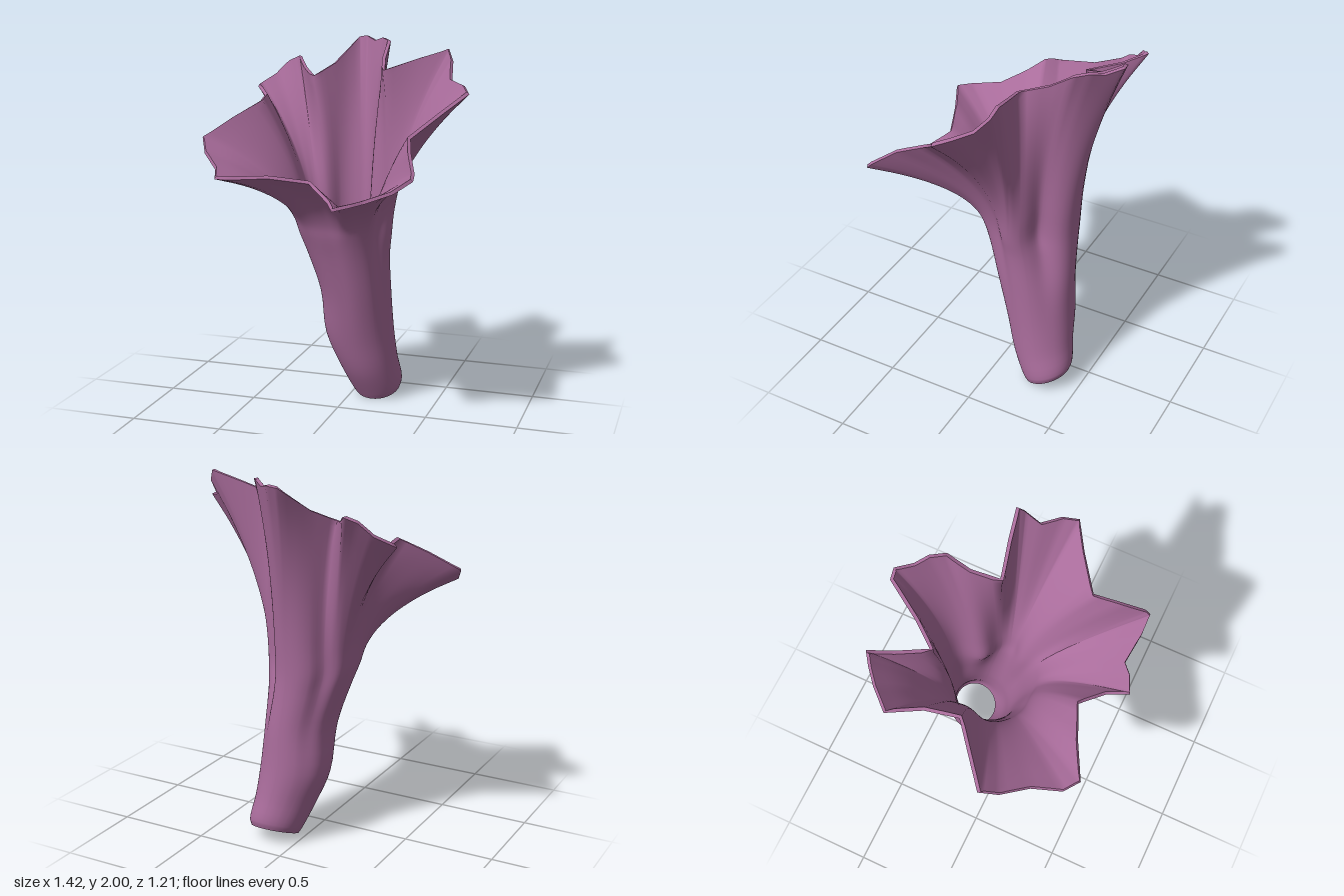
import * as THREE from 'three';

// Five petals; each lists rim points from its opening notch up to the next notch.
// 'angle' is where that notch meets the tube, in degrees from +x towards +z.
// 'fold' is the groove running down from the notch: its angle, depth and width.
const PETALS = [
  { angle: -13, fold: [-40, 0.38, 23],
    rim: [[0.21, 1.86, -0.16], [0.38, 1.92, -0.20], [0.54, 1.97, -0.23], [0.57, 1.91, -0.20],
      [0.585, 1.82, -0.12], [0.67, 1.80, -0.04], [0.71, 1.77, 0.04], [0.60, 1.68, 0.12]] },
  { angle: 28, fold: [26, 0.15, 13],
    rim: [[0.46, 1.56, 0.24], [0.50, 1.51, 0.38], [0.55, 1.43, 0.50], [0.55, 1.40, 0.53],
      [0.45, 1.33, 0.53], [0.30, 1.27, 0.51], [0.25, 1.26, 0.56], [0.16, 1.24, 0.60], [0.10, 1.26, 0.49]] },
  { angle: 92, fold: [92, 0.04, 13],
    rim: [[-0.03, 1.33, 0.39], [-0.22, 1.36, 0.47], [-0.41, 1.36, 0.57], [-0.49, 1.35, 0.51],
      [-0.55, 1.37, 0.36], [-0.66, 1.43, 0.24], [-0.71, 1.50, 0.15], [-0.58, 1.60, 0.04]] },
  { angle: 180, fold: [182, 0.09, 14],
    rim: [[-0.46, 1.68, -0.06], [-0.50, 1.69, -0.23], [-0.60, 1.72, -0.39], [-0.52, 1.78, -0.48],
      [-0.46, 1.85, -0.53], [-0.40, 1.88, -0.57], [-0.33, 1.83, -0.46]] },
  { angle: 226, fold: [226, 0.13, 14],
    rim: [[-0.24, 1.80, -0.32], [-0.16, 1.86, -0.43], [-0.07, 1.99, -0.60], [-0.01, 2.0, -0.61],
      [0.06, 1.98, -0.54], [0.12, 2.0, -0.49], [0.17, 1.99, -0.42], [0.175, 1.91, -0.30]] },
];

// Tube sections from the base up: centre, radii, slope of the ring, share of the fold depth
const RINGS = [
  { x: 0.14, y: 0.05, z: -0.31, rx: 0.13, rz: 0.122, slope: -0.4, fold: 0 },
  { x: 0.135, y: 0.085, z: -0.305, rx: 0.145, rz: 0.136, slope: -0.38, fold: 0 },
  { x: 0.10, y: 0.22, z: -0.26, rx: 0.165, rz: 0.163, slope: -0.28, fold: 0.04 },
  { x: 0.06, y: 0.40, z: -0.225, rx: 0.192, rz: 0.185, slope: -0.2, fold: 0.1 },
  { x: 0.05, y: 0.65, z: -0.185, rx: 0.197, rz: 0.215, slope: -0.08, fold: 0.35 },
  { x: 0.022, y: 0.86, z: -0.15, rx: 0.23, rz: 0.242, slope: 0, fold: 0.7 },
  { x: 0.01, y: 0.98, z: -0.13, rx: 0.26, rz: 0.262, slope: 0, fold: 1 },
];
const SPLIT = 4, ROWS = 48;

// Inward pull of all folds at an angle in degrees
function foldDepth(angle) {
  return PETALS.reduce((sum, { fold: [centre, depth, width] }) => {
    const gap = Math.abs(THREE.MathUtils.euclideanModulo(angle - centre + 180, 360) - 180);
    return sum + depth * Math.exp(-((gap / width) ** 2));
  }, 0);
}

// Rim points with the tube angle each one grows from
function rimColumns() {
  const columns = [];
  PETALS.forEach((petal, k) => {
    const next = PETALS[(k + 1) % PETALS.length];
    const end = next.angle + (k === PETALS.length - 1 ? 360 : 0);
    const pts = [...petal.rim, next.rim[0]].map(p => new THREE.Vector3(...p));
    const lengths = [0];
    for (let i = 1; i < pts.length; i++) lengths.push(lengths[i - 1] + pts[i].distanceTo(pts[i - 1]));
    const total = lengths[lengths.length - 1];
    for (let i = 0; i < pts.length - 1; i++) {
      for (let s = 0; s < SPLIT; s++) {
        const t = s / SPLIT;
        const along = THREE.MathUtils.lerp(lengths[i], lengths[i + 1], t) / total;
        columns.push({ rim: pts[i].clone().lerp(pts[i + 1], t),
          angle: THREE.MathUtils.lerp(petal.angle, end, along) });
      }
    }
  });
  return columns;
}

// One lengthwise line: up the tube, then flaring out to the rim, with pleats fading below it
function columnPoints({ rim, angle }, index, columns) {
  const depth = foldDepth(angle), a = THREE.MathUtils.degToRad(angle), n = columns.length;
  const path = RINGS.map(r => {
    const k = 1 - r.fold * depth;
    const dz = Math.sin(a) * r.rz * k;
    return new THREE.Vector3(r.x + Math.cos(a) * r.rx * k, r.y + r.slope * dz, r.z + dz);
  });
  const soft = new THREE.Vector3();
  for (let k = -SPLIT; k <= SPLIT; k++) soft.addScaledVector(columns[(index + k + n) % n].rim, 1 / (2 * SPLIT + 1));
  const start = path[path.length - 1];
  const rise = soft.y - start.y;
  const control = start.clone().lerp(soft, 0.12);
  control.y = start.y + 0.15 + 0.15 * rise + 0.2 * rise * rise;
  for (let i = 1; i <= 6; i++) {
    const t = i / 6;
    path.push(new THREE.QuadraticBezierCurve3(start, control, soft.clone().lerp(rim, t)).getPoint(t));
  }
  return new THREE.CatmullRomCurve3(path).getPoints(ROWS);
}

// Smooth surface through closed rows of points
function loft(rows) {
  const n = rows[0].length, index = [];
  for (let j = 0; j < rows.length - 1; j++) {
    for (let i = 0; i < n; i++) {
      const a = j * n + i, b = j * n + (i + 1) % n;
      index.push(a, a + n, b, b, a + n, b + n);
    }
  }
  const geometry = new THREE.BufferGeometry().setFromPoints(rows.flat());
  geometry.setIndex(index);
  geometry.computeVertexNormals();
  return geometry;
}

export function createModel() {
  const group = new THREE.Group();
  group.name = 'trumpetFlower';
  const petalMauve = new THREE.MeshStandardMaterial({ color: 0xa96c9b, side: THREE.DoubleSide });
  petalMauve.name = 'petalMauve';

  const columns = rimColumns().map(columnPoints);
  const outer = [];
  for (let j = 0; j <= ROWS; j++) outer.push(columns.map(c => c[j]));
  const outerGeometry = loft(outer);

  // Inner wall: the outer wall moved inwards along its normals, thickest in the lower tube
  const normals = outerGeometry.attributes.normal, n = columns.length;
  const inner = outer.map((row, j) => {
    const wall = j < 12 ? THREE.MathUtils.mapLinear(j, 0, 12, 0.006, 0.026)
      : THREE.MathUtils.mapLinear(j, 12, ROWS, 0.026, 0.018);
    return row.map((p, i) =>
      new THREE.Vector3().fromBufferAttribute(normals, j * n + i).multiplyScalar(-wall).add(p));
  });

  const add = (name, geometry) => {
    const mesh = new THREE.Mesh(geometry, petalMauve);
    mesh.name = name;
    group.add(mesh);
  };
  add('outerWall', outerGeometry);
  add('innerWall', loft([...inner].reverse()));
  add('rimEdge', loft([outer[ROWS], inner[ROWS]]));
  add('baseEdge', loft([inner[0], outer[0]]));
  return group;
}
